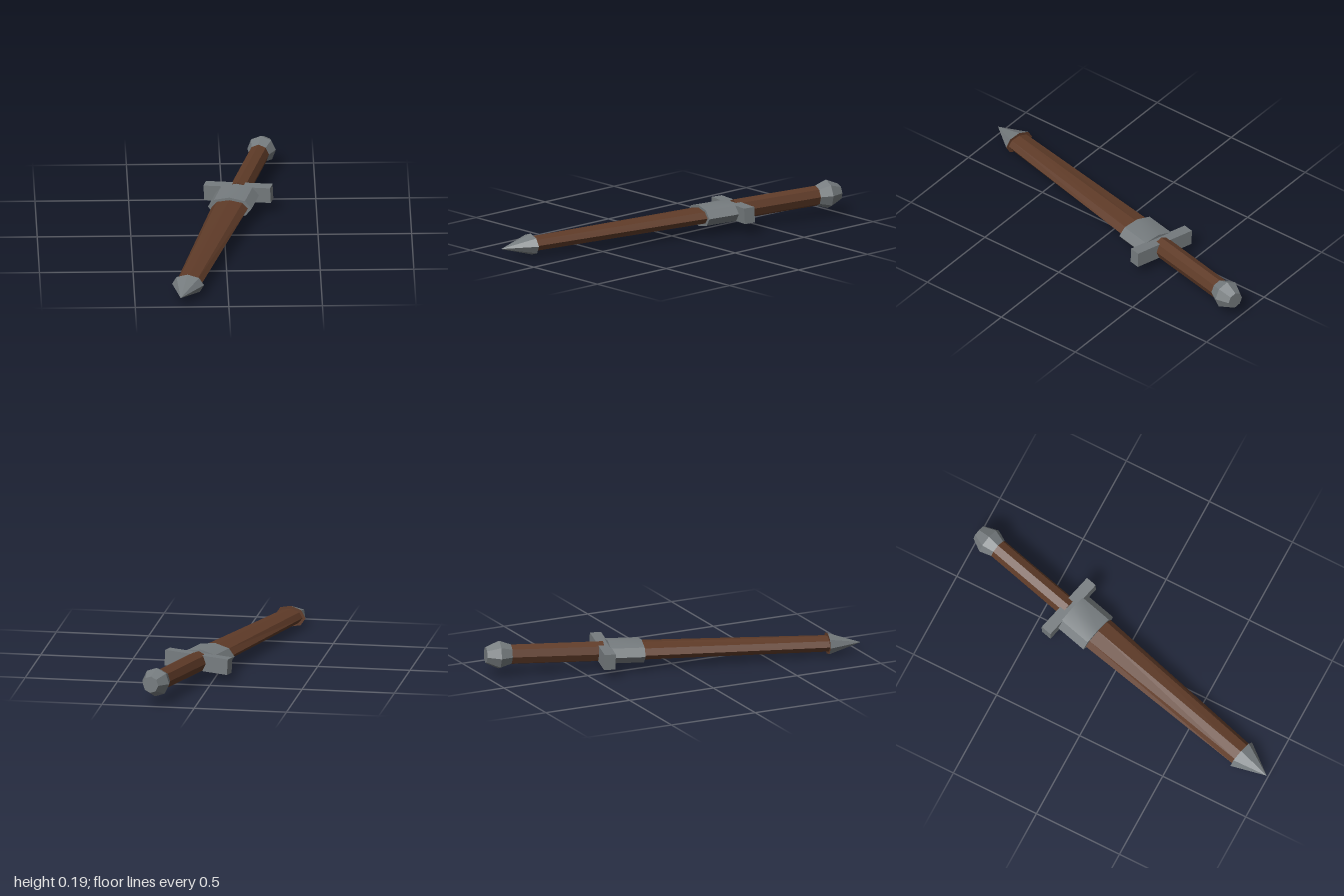
import * as THREE from 'three';
import { toCreasedNormals } from 'three/addons/utils/BufferGeometryUtils.js';

const steel = new THREE.MeshStandardMaterial({ color: 0x757b7e });
steel.name = 'steel grey';
const leather = new THREE.MeshStandardMaterial({ color: 0x5f3b28 });
leather.name = 'leather brown';

// Eight-sided tapered bar along -z, from distance a to b, with [x, y] radii at each end
function taper(name, material, a, b, ra, rb, open = false, crease = 0.05) {
  const g = new THREE.CylinderGeometry(1, 1, b - a, 8, 1, open);
  g.rotateX(-Math.PI / 2);
  const p = g.attributes.position;
  for (let i = 0; i < p.count; i++) {
    const r = p.getZ(i) > 0 ? ra : rb;
    p.setX(i, p.getX(i) * r[0]);
    p.setY(i, p.getY(i) * r[1]);
  }
  g.translate(0, 0, -(a + b) / 2);
  const mesh = new THREE.Mesh(toCreasedNormals(g, crease), material);
  mesh.name = name;
  return mesh;
}

export function createModel() {
  const sword = new THREE.Group();
  sword.name = 'sheathedSword';

  // Scabbard: pointed metal tip with a leather back face, long body, metal throat
  sword.add(taper('scabbardTip', [steel, leather, steel], 0, 0.18,
    [0.001, 0.001], [0.0875, 0.0575]));
  sword.add(taper('scabbardBody', leather, 0.17, 1.22, [0.07, 0.041], [0.1, 0.044]));
  sword.add(taper('scabbardThroat', steel, 1.2, 1.385, [0.12, 0.059], [0.12, 0.059], false, 0.5));

  // Crossguard
  const guard = new THREE.Mesh(new THREE.BoxGeometry(0.365, 0.085, 0.062), steel);
  guard.name = 'crossguard';
  guard.position.z = -1.41;
  sword.add(guard);

  // Grip
  sword.add(taper('grip', leather, 1.41, 1.92, [0.056, 0.056], [0.055, 0.055]));

  // Faceted pommel made of two tapers
  const pommel = new THREE.Group();
  pommel.name = 'pommel';
  pommel.add(taper('pommelFront', steel, 1.905, 1.978, [0.052, 0.052], [0.078, 0.078]));
  pommel.add(taper('pommelBack', steel, 1.978, 2.05, [0.078, 0.078], [0.045, 0.045]));
  sword.add(pommel);

  // Lying pose: turned, slightly raised at the pommel and rolled
  sword.rotation.set(0.032, -0.244, 0.045, 'YXZ');
  sword.position.set(-0.257, 0.055, 0.998);

  const model = new THREE.Group();
  model.name = 'model';
  model.add(sword);
  return model;
}
